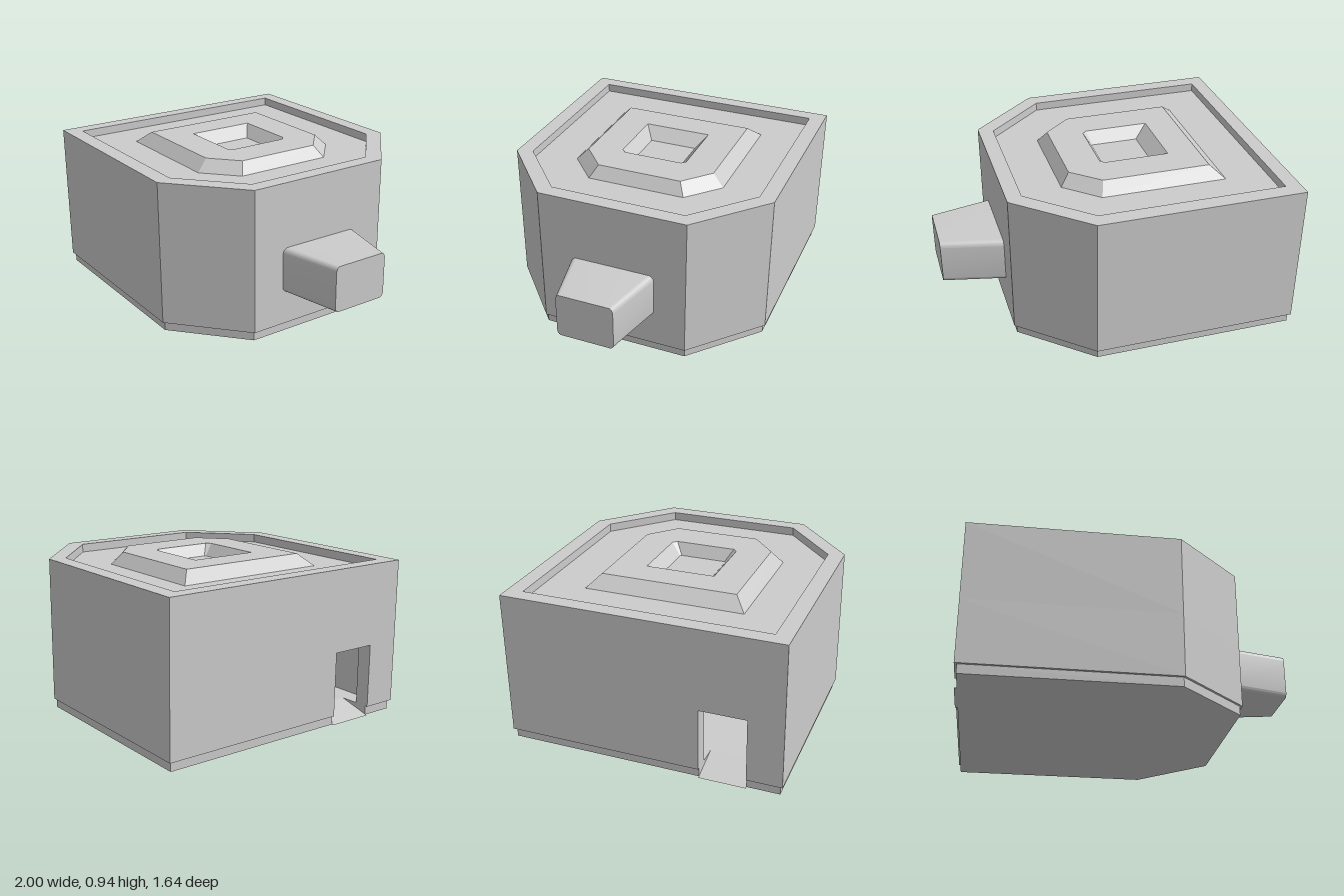
import * as THREE from 'three';
import { toCreasedNormals } from 'three/addons/utils/BufferGeometryUtils.js';

const material = new THREE.MeshStandardMaterial({ color: 0xcccccc });

function addMesh(group, name, geometry) {
  const mesh = new THREE.Mesh(geometry, material);
  mesh.name = name;
  group.add(mesh);
}

// Six-sided plan: square on the -x side, chamfered corners on the +x side.
const plan = (x0, z, x1, x2, z2) =>
  [[x0, z], [x1, z], [x2, z2], [x2, -z2], [x1, -z], [x0, -z]];

// Vertical extrusion of a plan given as [x, z] points.
function prism(points, y0, y1, hole) {
  const toVectors = (list) => list.map(([x, z]) => new THREE.Vector2(x, -z));
  const shape = new THREE.Shape(toVectors(points));
  if (hole) shape.holes.push(new THREE.Path(toVectors(hole)));
  return new THREE.ExtrudeGeometry(shape, { depth: y1 - y0, bevelEnabled: false })
    .rotateX(-Math.PI / 2).translate(0, y0, 0);
}

// Faceted strip joining successive loops { y, points }.
function loft(loops) {
  const positions = [];
  for (let k = 0; k < loops.length - 1; k++) {
    const a = loops[k], b = loops[k + 1], n = a.points.length;
    for (let i = 0; i < n; i++) {
      const j = (i + 1) % n;
      const corners = [[a, i], [a, j], [b, j], [a, i], [b, j], [b, i]];
      for (const [l, m] of corners) positions.push(l.points[m][0], l.y, l.points[m][1]);
    }
  }
  const geometry = new THREE.BufferGeometry();
  geometry.setAttribute('position', new THREE.Float32BufferAttribute(positions, 3));
  geometry.computeVertexNormals();
  return geometry;
}

// Rounded nozzle, narrowing sideways towards its tip.
function nozzleGeometry() {
  const w = 0.26, h = 0.1375, r = 0.035, x0 = 0.635, x1 = 1;
  const shape = new THREE.Shape();
  shape.absarc(w - r, h - r, r, 0, Math.PI / 2);
  shape.absarc(-w + r, h - r, r, Math.PI / 2, Math.PI);
  shape.absarc(-w + r, -h + r, r, Math.PI, Math.PI * 1.5);
  shape.absarc(w - r, -h + r, r, Math.PI * 1.5, Math.PI * 2);
  const geometry = new THREE.ExtrudeGeometry(shape, {
    depth: x1 - x0, bevelEnabled: false, curveSegments: 8,
  }).rotateY(Math.PI / 2).translate(x0, 0.3925, 0);
  const p = geometry.attributes.position;
  for (let i = 0; i < p.count; i++) {
    const t = (p.getX(i) - x0) / (x1 - x0);
    p.setZ(i, p.getZ(i) * (1 - 0.33 * t));
  }
  return toCreasedNormals(geometry, 0.5);
}

export function createModel() {
  const group = new THREE.Group();
  group.name = 'housing';

  const outer = plan(-1, 0.82, 0.225, 0.635, 0.455);
  const inner = plan(-0.91, 0.725, 0.195, 0.545, 0.41);
  const door = { z0: 0.34, z1: 0.615, top: 0.435 };
  const baseTop = 0.055, coverTop = 0.87;

  // Walls: closed ring above the doorway, open ring beside it
  addMesh(group, 'upperWalls', prism(outer, door.top, 0.92, inner));
  addMesh(group, 'lowerWalls', prism([
    [-1, door.z1], ...outer, [-1, door.z0], [-0.91, door.z0],
    ...[...inner].reverse(), [-0.91, door.z1],
  ], baseTop, door.top));

  // Base plate, notched for the ramp
  addMesh(group, 'basePlate', prism([
    ...plan(-0.985, 0.805, 0.22, 0.62, 0.45),
    [-0.985, door.z0], [-0.8, door.z0], [-0.8, door.z1], [-0.985, door.z1],
  ], 0, baseTop));

  // Ramp in the doorway
  const rampShape = new THREE.Shape([
    new THREE.Vector2(-1, 0), new THREE.Vector2(-0.8, 0), new THREE.Vector2(-0.8, baseTop),
  ]);
  addMesh(group, 'doorRamp', new THREE.ExtrudeGeometry(rampShape, {
    depth: door.z1 - door.z0, bevelEnabled: false,
  }).translate(0, 0, door.z0));

  // Sunken cover with a bevelled frame around a shallow pit
  addMesh(group, 'cover', prism(inner, 0.8, coverTop));
  addMesh(group, 'raisedFrame', loft([
    { y: coverTop, points: plan(-0.655, 0.475, 0.095, 0.29, 0.3) },
    { y: 0.94, points: plan(-0.575, 0.405, 0.07, 0.235, 0.26) },
    { y: 0.94, points: plan(-0.39, 0.207, 0, 0.025, 0.183) },
    { y: coverTop, points: plan(-0.31, 0.147, -0.027, -0.018, 0.139) },
  ]));

  addMesh(group, 'nozzle', nozzleGeometry());
  return group;
}
